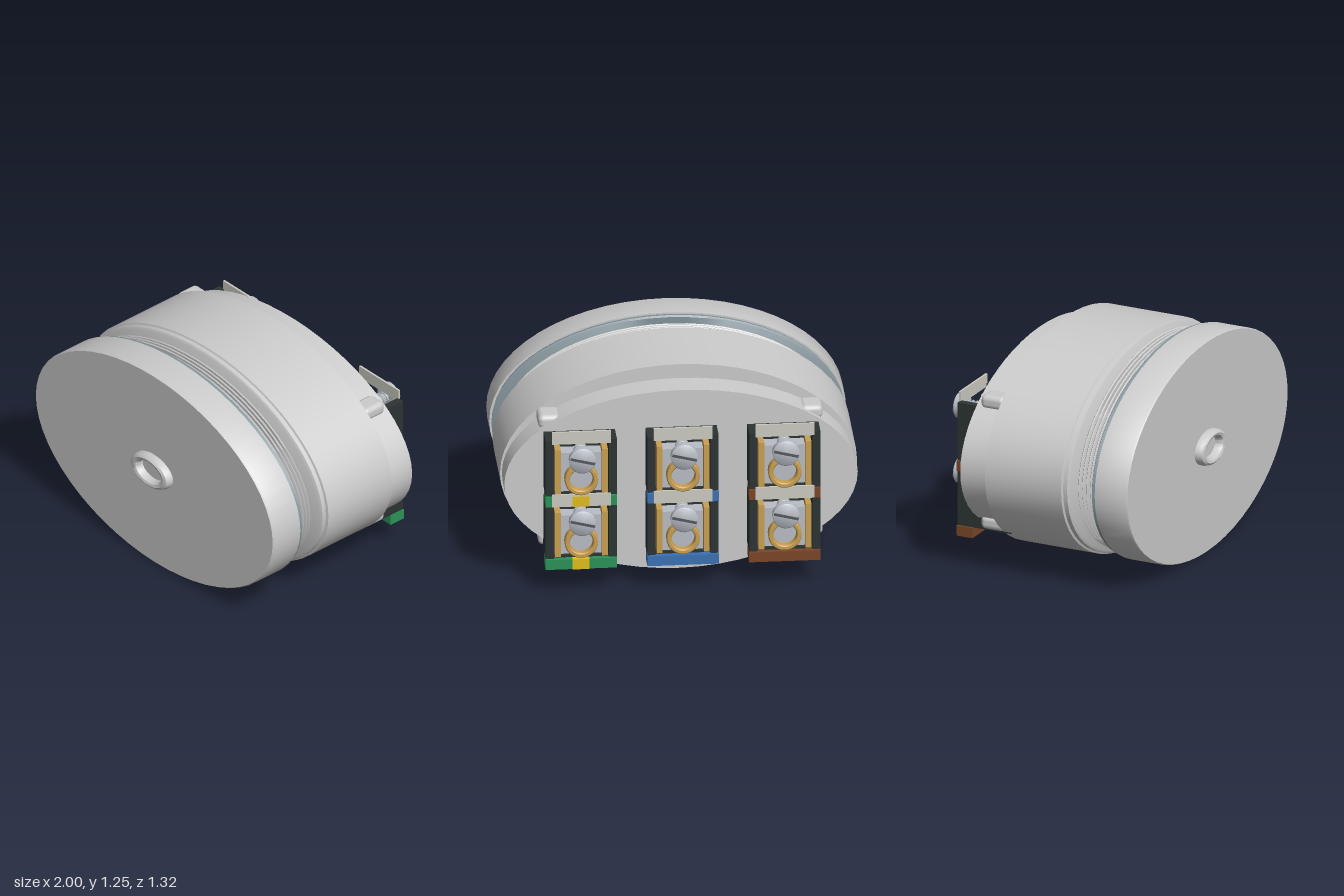
import * as THREE from 'three';
import { toCreasedNormals } from 'three/addons/utils/BufferGeometryUtils.js';
import { RoundedBoxGeometry } from 'three/addons/geometries/RoundedBoxGeometry.js';

const CY = 0.627; // height of the oval's centre, also its height / width ratio

const mat = (color) => new THREE.MeshStandardMaterial({ color });
const M = {
  grey: mat(0xcccccc), seal: mat(0x84949a), dark: mat(0x2c3432), brass: mat(0xc9a052),
  steel: mat(0xb9bec6), slot: mat(0x555a60), label: mat(0xccccc2), yellow: mat(0xe0bd1c),
  green: mat(0x2b9358), blue: mat(0x3a72b5), brown: mat(0x7c4628),
};

function add(parent, name, geometry, material, x = 0, y = 0, z = 0) {
  const mesh = new THREE.Mesh(geometry, material);
  mesh.name = name;
  mesh.position.set(x, y, z);
  parent.add(mesh);
  return mesh;
}

// Box given by its minimum and maximum corners
function box(parent, name, material, [x0, y0, z0], [x1, y1, z1]) {
  return add(parent, name, new THREE.BoxGeometry(x1 - x0, y1 - y0, z1 - z0), material,
    (x0 + x1) / 2, (y0 + y1) / 2, (z0 + z1) / 2);
}

// Turned shape around z from [radius, z] points with z rising on the outside
function turned(profile, segments, squash = 1, crease = 0.7) {
  const g = new THREE.LatheGeometry(profile.map(([r, z]) => new THREE.Vector2(r, z)), segments);
  g.rotateX(Math.PI / 2);
  g.scale(1, squash, 1);
  return toCreasedNormals(g, crease);
}

const oval = (parent, name, material, profile, squash = CY) =>
  add(parent, name, turned(profile, 56, squash), material, 0, CY, 0);

// Slotted screw pointing out of the back, origin on its axis at z = 0
function makeScrew() {
  const screw = new THREE.Group();
  screw.name = 'screw';
  add(screw, 'screwHead', turned([
    [0, -0.66], [0.066, -0.66], [0.076, -0.652], [0.076, -0.618], [0.068, -0.61], [0, -0.61],
  ], 20), M.steel);
  const slot = box(screw, 'screwSlot', M.slot, [-0.07, -0.008, -0.661], [0.07, 0.008, -0.65]);
  slot.rotation.z = 0.25;
  add(screw, 'screwShank', turned([[0, -0.612], [0.03, -0.612], [0.03, -0.46], [0, -0.455]], 14), M.steel);
  const turns = 5, points = [];
  for (let i = 0; i <= turns * 12; i++) {
    const a = (i / 12) * Math.PI * 2;
    points.push(new THREE.Vector3(0.032 * Math.cos(a), 0.032 * Math.sin(a), -0.6 + (0.13 * i) / (turns * 12)));
  }
  add(screw, 'screwThread',
    new THREE.TubeGeometry(new THREE.CatmullRomCurve3(points), 100, 0.008, 5), M.steel);
  return screw;
}

// One terminal cell, origin at the bottom middle of its dark housing
function makeTerminal(color) {
  const cell = new THREE.Group();
  cell.name = 'terminal';
  box(cell, 'housingBack', M.dark, [-0.2, 0, -0.45], [0.2, 0.34, -0.4]);
  box(cell, 'housingFloor', M.dark, [-0.2, 0, -0.55], [0.2, 0.015, -0.225]);
  for (const s of [-1, 1]) {
    add(cell, 'housingWall', new THREE.BoxGeometry(0.045, 0.34, 0.165), M.dark, s * 0.177, 0.17, -0.4825);
    add(cell, 'brassPost', new THREE.BoxGeometry(0.032, 0.27, 0.13), M.brass, s * 0.132, 0.15, -0.51);
  }
  // Clamp block and wire socket
  box(cell, 'clampBlock', M.steel, [-0.115, 0.015, -0.535], [0.115, 0.25, -0.445]);
  add(cell, 'brassSocket', turned([
    [0.066, -0.54], [0.066, -0.578], [0.072, -0.585], [0.088, -0.585], [0.094, -0.578], [0.094, -0.5],
  ], 24), M.brass, 0, 0.1, 0);
  // Coloured strip below, light plate above
  box(cell, 'colourStrip', color, [-0.2, -0.065, -0.57], [0.2, -0.005, -0.47]);
  if (color === M.green) box(cell, 'yellowMark', M.yellow, [-0.045, -0.066, -0.574], [0.05, -0.004, -0.469]);
  box(cell, 'labelPlate', M.label, [-0.165, 0.32, -0.572], [0.165, 0.395, -0.56]);
  const screw = makeScrew();
  screw.position.y = 0.25;
  cell.add(screw);
  return cell;
}

export function createModel() {
  const model = new THREE.Group();
  model.name = 'ceilingMount';

  // Front cover and its seal
  oval(model, 'frontCover', M.grey, [
    [0, 0.41], [1, 0.41], [1, 0.6], [0.992, 0.61], [0.12, 0.61], [0, 0.61],
  ]);
  oval(model, 'coverSeal', M.seal, [[0, 0.38], [0.975, 0.38], [0.99, 0.388], [0.985, 0.41], [0, 0.41]]);

  // Cable outlet ring
  oval(model, 'cableOutlet', M.grey, [
    [0.158, 0.6], [0.158, 0.63], [0.148, 0.652], [0.13, 0.66], [0.108, 0.655], [0.096, 0.635], [0.096, 0.6],
  ].map(([r, z]) => [r, z]));

  // Thin loose rings between cover and body
  for (const z of [0.278, 0.302, 0.326, 0.35]) {
    oval(model, 'threadRing', M.grey, [
      [0.82, z - 0.006], [0.928, z - 0.006], [0.937, z], [0.928, z + 0.006], [0.82, z + 0.006], [0.82, z - 0.006],
    ]);
  }

  // Main body and stepped rear base
  oval(model, 'body', M.grey, [
    [0, -0.275], [1, -0.275], [1, 0.2], [0.985, 0.205], [0.985, 0.23], [0.965, 0.24], [0, 0.24],
  ]);
  oval(model, 'rearBase', M.grey, [[0, -0.435], [0.99, -0.435], [0.99, -0.27], [0, -0.27]], 0.548);

  // Four rounded lugs on the base
  for (const sx of [-1, 1]) for (const sy of [-1, 1]) {
    add(model, 'lug', new RoundedBoxGeometry(0.125, 0.08, 0.15, 3, 0.03), M.grey,
      sx * 0.735, CY + sy * 0.358, -0.335);
  }

  // Three columns of two terminals
  [[-0.57, M.brown], [0, M.blue], [0.57, M.green]].forEach(([x, color]) => {
    for (const y of [0.22, 0.605]) {
      const cell = makeTerminal(color);
      cell.position.set(x, y, 0);
      model.add(cell);
    }
  });
  return model;
}
